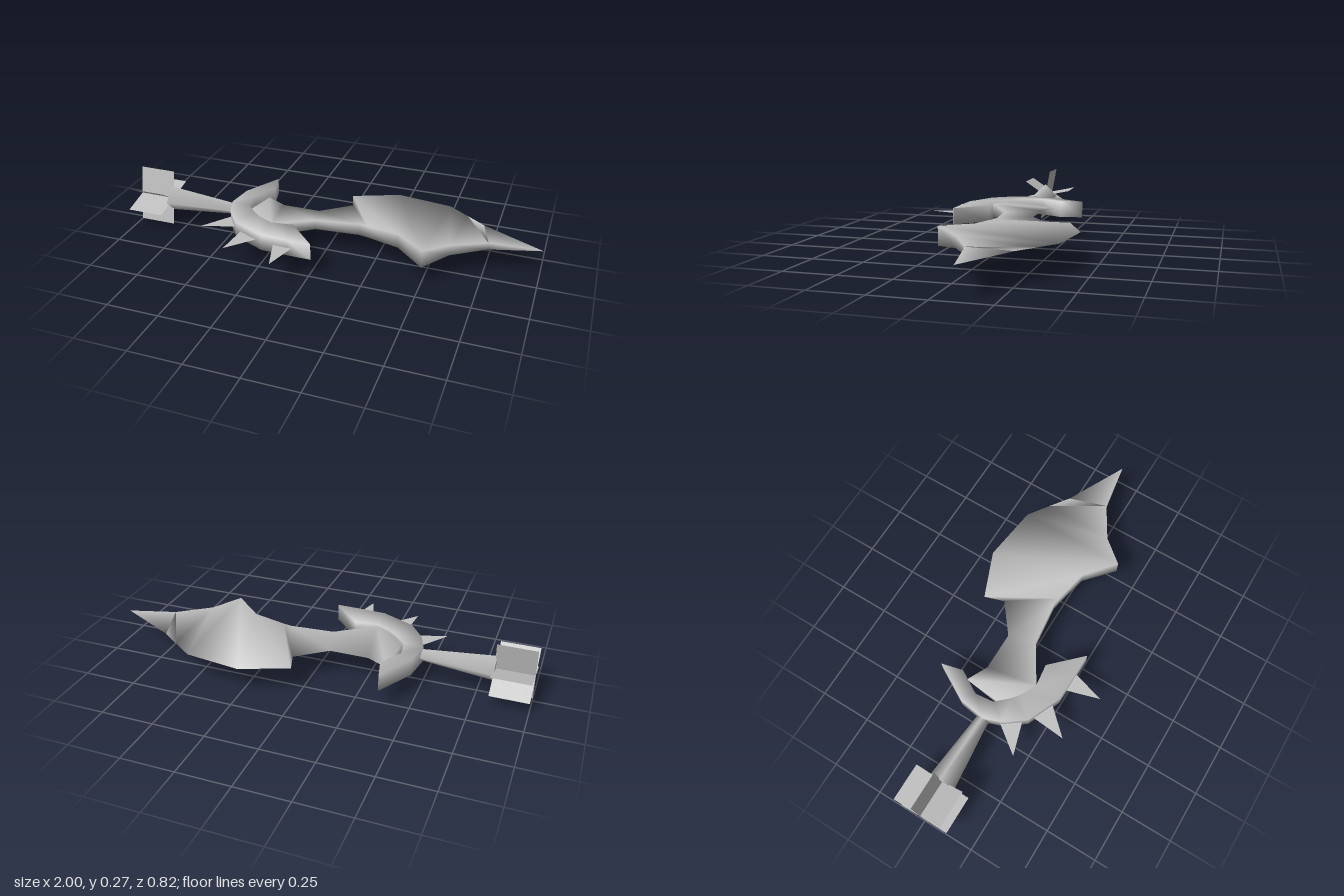
import * as THREE from 'three';

const MID = 0.135; // height of the sword's flat centre plane

// Smooth skin over a row of equal-sized rings, with optional end caps
function loft(rings, capped) {
  const n = rings[0].length, index = [];
  for (let i = 0; i < rings.length - 1; i++) {
    for (let j = 0; j < n; j++) {
      const a = i * n + j, b = i * n + (j + 1) % n;
      index.push(a, b, b + n, a, b + n, a + n);
    }
  }
  if (capped) {
    const e = (rings.length - 1) * n;
    for (let j = 1; j < n - 1; j++) index.push(0, j + 1, j, e, e + j, e + j + 1);
  }
  const geo = new THREE.BufferGeometry();
  geo.setAttribute('position', new THREE.Float32BufferAttribute(rings.flat(2), 3));
  geo.setIndex(index);
  geo.computeVertexNormals();
  return geo;
}

export function createModel() {
  const group = new THREE.Group();
  const steel = new THREE.MeshStandardMaterial({ color: 0xc0c0c0, side: THREE.DoubleSide });
  steel.name = 'grey steel';
  const add = (name, geo) => {
    const mesh = new THREE.Mesh(geo, steel);
    mesh.name = name;
    group.add(mesh);
    return mesh;
  };

  // Blade: blunt front edge (x, z), sharp back edge (x, z), half thickness
  const blade = [
    [-0.39, 0.06, -0.365, -0.17, 0.03],
    [-0.23, 0.128, -0.265, -0.12, 0.032],
    [-0.05, 0.015, -0.08, -0.12, 0.024],
    [0.16, -0.01, 0.06, -0.23, 0.029],
    [0.2, -0.003, 0.03, -0.325, 0.03],
    [0.36, 0.03, 0.25, -0.415, 0.036],
    [0.5, 0.15, 0.52, -0.38, 0.043],
    [0.6, 0.035, 0.62, -0.31, 0.026],
    [0.76, -0.06, 0.71, -0.245, 0.017],
    [1, -0.1, 1, -0.1, 0.001],
  ];
  add('blade', loft(blade.map(([fx, fz, bx, bz, h]) => [
    [bx, MID, bz], [fx, MID + h, fz], [fx, MID - h, fz],
  ]), true));

  // Crescent guard: outer (x, z) and inner (x, z), square in section
  const guard = [
    [-0.37, -0.305, -0.345, -0.2],
    [-0.47, -0.13, -0.41, -0.09],
    [-0.49, 0, -0.4, 0],
    [-0.46, 0.085, -0.345, 0.06],
    [-0.39, 0.18, -0.3, 0.095],
    [-0.23, 0.252, -0.23, 0.128],
    [-0.1, 0.256, -0.125, 0.115],
    [0.013, 0.257, 0.01, 0.252],
  ];
  add('guard', loft(guard.map(([ox, oz, ix, iz]) => [
    [ix, MID + 0.04, iz], [ox, MID + 0.04, oz], [ox, MID - 0.04, oz], [ix, MID - 0.04, iz],
  ]), true));

  // Flat spikes on the guard: two base corners and the tip, as (x, z)
  const spikes = [
    [-0.46, 0.07, -0.38, 0.15, -0.56, 0.205],
    [-0.36, 0.18, -0.25, 0.22, -0.375, 0.355],
    [-0.175, 0.24, -0.075, 0.24, -0.125, 0.41],
  ];
  for (const [ax, az, bx, bz, tx, tz] of spikes) {
    const shape = new THREE.Shape([[ax, -az], [tx, -tz], [bx, -bz]].map(p => new THREE.Vector2(...p)));
    const spike = add('guardSpike', new THREE.ShapeGeometry(shape));
    spike.rotation.x = -Math.PI / 2;
    spike.position.y = MID;
  }

  // Handle: four-sided, flaring towards the pommel
  const handle = add('handle', new THREE.CylinderGeometry(0.065, 0.027, 0.37, 4));
  handle.rotation.z = Math.PI / 2;
  handle.position.set(-0.64, MID, -0.005);

  // Pommel fins: three thin plates crossing on the handle's axis
  for (const degrees of [-12.5, 33.7, 100.6]) {
    const fin = add('pommelFin', new THREE.PlaneGeometry(0.18, 0.277));
    fin.rotation.x = Math.PI / 2 - THREE.MathUtils.degToRad(degrees);
    fin.position.set(-0.91, MID, -0.005);
  }

  return group;
}
